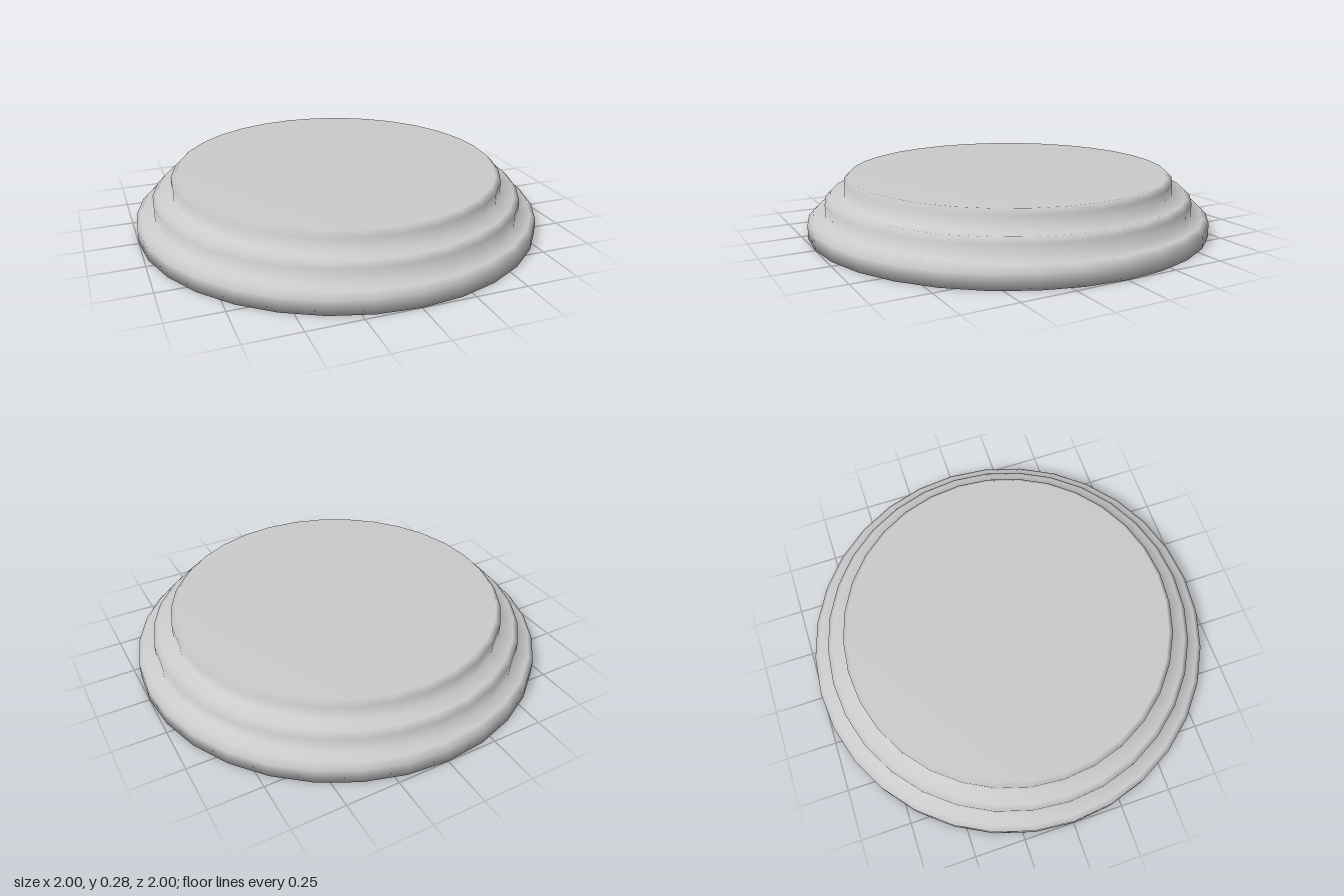
import * as THREE from 'three';

export function createModel() {
  const group = new THREE.Group();
  group.name = 'roundPlinth';
  const bevel = 0.025;

  // Outer radius and top height of each tier, from the ground up
  const tiers = [[1, 0.093], [0.915, 0.186], [0.82, 0.278]];

  // Closed profile: underside, three bevelled steps, flat top
  const profile = [new THREE.Vector2(0, 0)];
  let base = 0;
  for (const [radius, top] of tiers) {
    profile.push(
      new THREE.Vector2(radius, base),
      new THREE.Vector2(radius, top - bevel),
      new THREE.Vector2(radius - bevel, top),
    );
    base = top;
  }
  profile.push(new THREE.Vector2(0, base));

  const plinth = new THREE.Mesh(
    new THREE.LatheGeometry(profile, 32),
    new THREE.MeshStandardMaterial({ color: 0xcccccc }),
  );
  plinth.name = 'steppedPlinth';
  group.add(plinth);
  return group;
}
